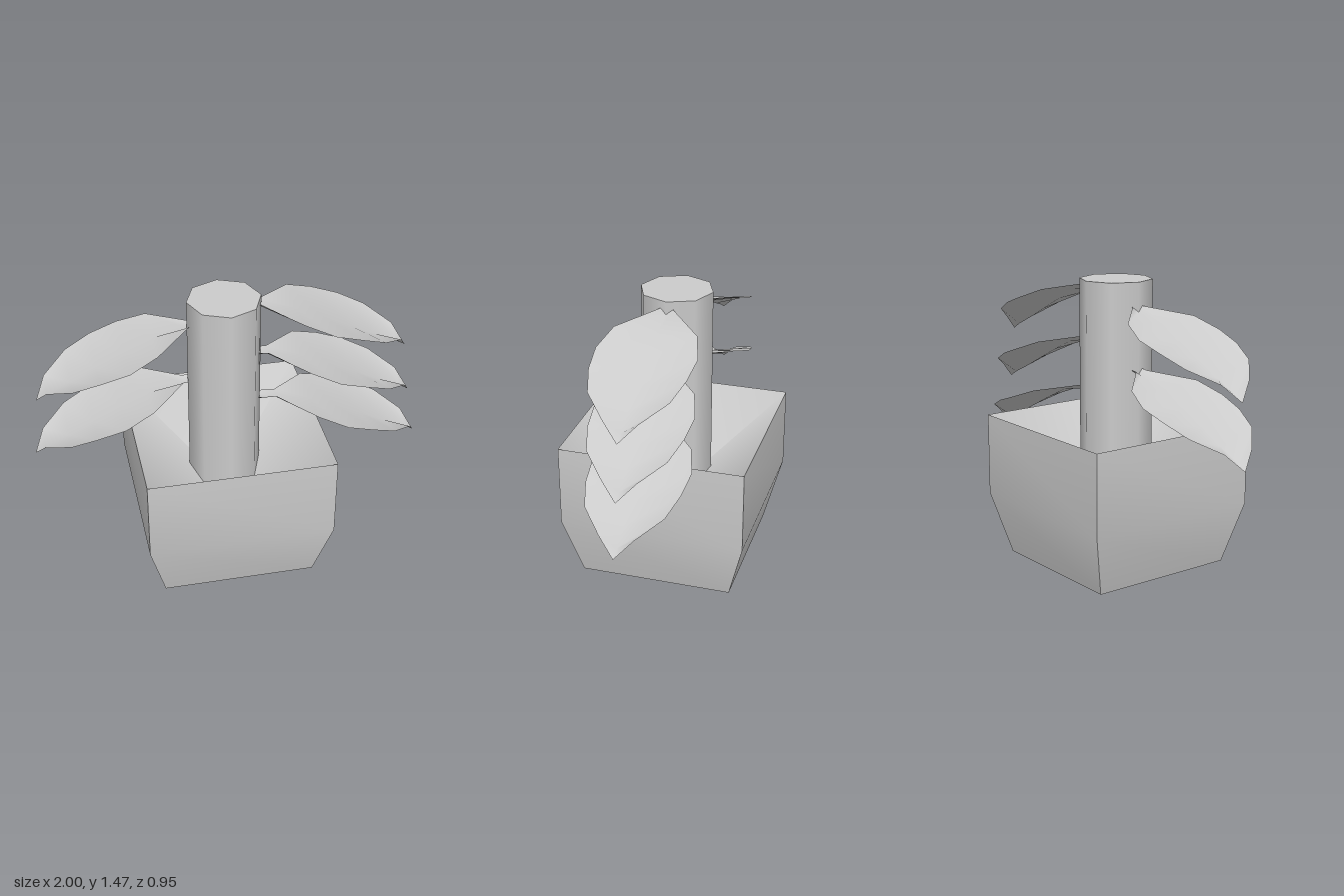
import * as THREE from 'three';
import { toCreasedNormals } from 'three/addons/utils/BufferGeometryUtils.js';

const AXIS_X = -0.03; // the pot and trunk stand slightly off centre

// Leaf cross-sections from tip to stalk:
// [distance from tip, half width, midrib height, edge height]
const LEAF_SECTIONS = [
  [0, 0, 0, 0],
  [0.05, 0.085, 0.03, 0.085],
  [0.17, 0.195, 0.085, 0.15],
  [0.30, 0.235, 0.15, 0.205],
  [0.44, 0.248, 0.22, 0.25],
  [0.58, 0.205, 0.285, 0.303],
  [0.76, 0.035, 0.318, 0.343],
  [0.92, 0.03, 0.325, 0.355], // stalk, running into the trunk
];

// Thin leaf folded along its midrib, tip at the origin, growing out along +x
function leafGeometry() {
  const positions = [];
  const indices = [];
  LEAF_SECTIONS.forEach(([u, w, mid, edge], i) => {
    positions.push(-u, edge, -w, -u, mid, 0, -u, edge, w);
    if (i === LEAF_SECTIONS.length - 1) return;
    for (let j = 0; j < 2; j++) {
      const a = i * 3 + j;
      const b = a + 3;
      if (i > 0) indices.push(a, b, a + 1);
      if (i > 0) indices.push(b, b + 1, a + 1);
      else indices.push(1, b, b + 1); // pointed tip
    }
  });
  const geometry = new THREE.BufferGeometry();
  geometry.setAttribute('position', new THREE.Float32BufferAttribute(positions, 3));
  geometry.setIndex(indices);
  geometry.computeVertexNormals();
  return geometry;
}

// Square pot: tapered foot, straight walls, hollow sloping to the middle
function potGeometry() {
  const profile = [[0, 0], [0.391, 0], [0.474, 0.32], [0.474, 0.743], [0, 0.34]]
    .map(([half, y]) => new THREE.Vector2(half * Math.SQRT2, y));
  return toCreasedNormals(new THREE.LatheGeometry(profile, 4, Math.PI / 4), 1);
}

export function createModel() {
  const group = new THREE.Group();
  const material = new THREE.MeshStandardMaterial({ color: 0xcccccc });
  const leafMaterial = new THREE.MeshStandardMaterial({ color: 0xcccccc, side: THREE.DoubleSide });

  const add = (name, geometry, mat, x, y) => {
    const mesh = new THREE.Mesh(geometry, mat);
    mesh.name = name;
    mesh.position.set(x, y, 0);
    group.add(mesh);
    return mesh;
  };

  add('pot', potGeometry(), material, AXIS_X, 0);

  // Eight-sided trunk, rooted in the pot
  const bottom = 0.3;
  const top = 1.467;
  add('trunk', new THREE.CylinderGeometry(0.185, 0.185, top - bottom, 8), material,
    AXIS_X, (top + bottom) / 2);

  // Leaves placed by their tips: three on the left, two on the right
  const leaf = leafGeometry();
  [[0.91, 1.085], [0.95, 0.805], [1.0, 0.535]]
    .forEach(([x, y], i) => add(`leftLeaf${i + 1}`, leaf, leafMaterial, x, y));
  [[-0.97, 1.003], [-1.0, 0.685]]
    .forEach(([x, y], i) => {
      add(`rightLeaf${i + 1}`, leaf, leafMaterial, x, y).rotation.y = Math.PI;
    });

  return group;
}
